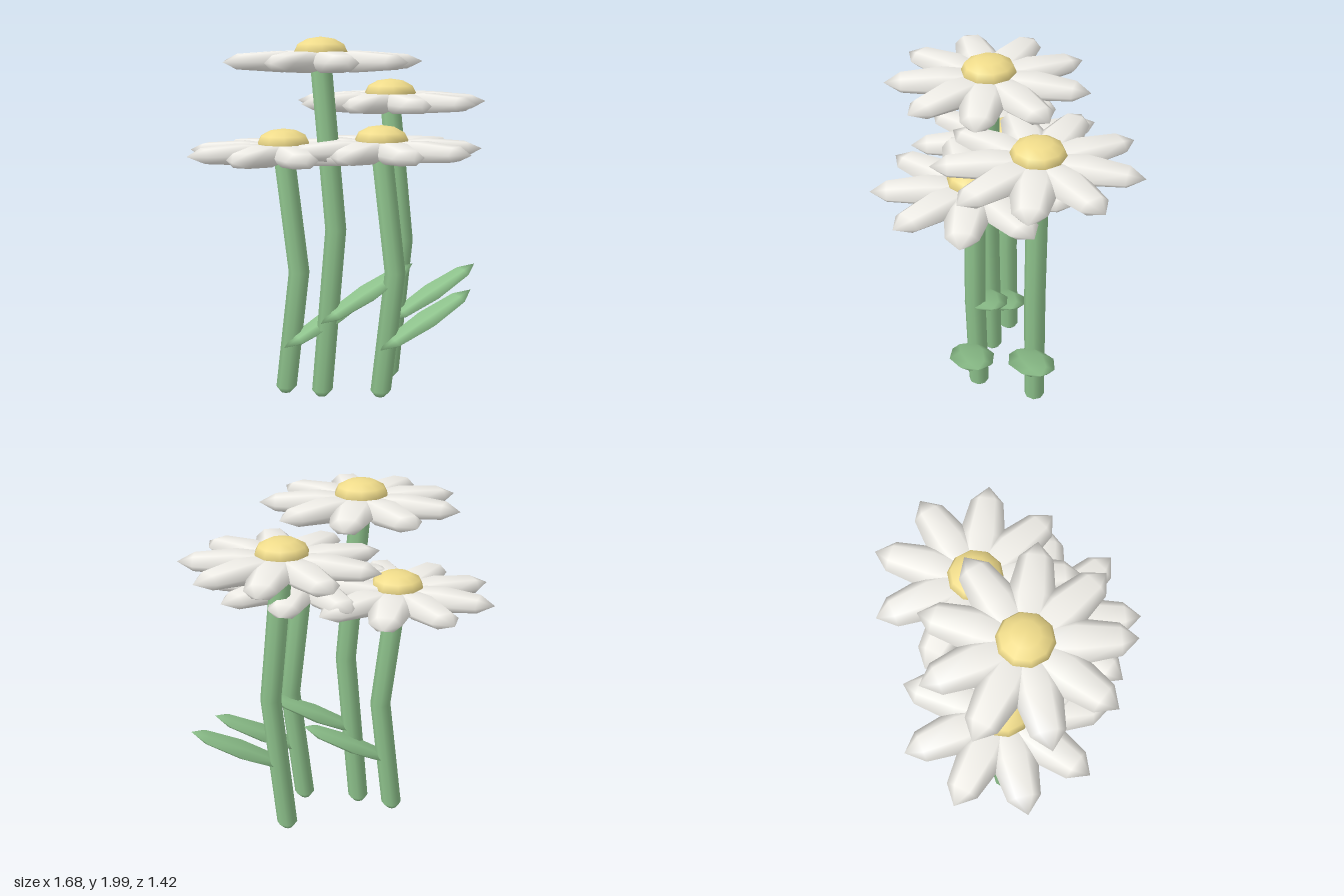
import * as THREE from 'three';

const paint = (color) => new THREE.MeshStandardMaterial({ color });
const green = paint(0x8dc18b);
const white = paint(0xf0eee8);
const yellow = paint(0xefdb8a);

// Flattened low-poly ellipsoid lying along a direction, with its width horizontal
function blade(name, material, center, axis, halfWidth, halfThick) {
  const along = axis.clone().normalize();
  const side = new THREE.Vector3(-along.z, 0, along.x).normalize();
  const up = new THREE.Vector3().crossVectors(side, along);
  const geo = new THREE.SphereGeometry(1, 6, 4);
  geo.scale(halfWidth, axis.length(), halfThick);
  geo.applyMatrix4(new THREE.Matrix4().makeBasis(side, along, up));
  const mesh = new THREE.Mesh(geo, material);
  mesh.name = name;
  mesh.position.copy(center);
  return mesh;
}

// Eight-sided stem with a bevelled foot, bent sideways at mid height
function stem(height) {
  const r = 0.058, bend = 0.08;
  const profile = [[0, 0.006], [0.028, 0.006], [r, 0.04], [r, height * 0.51], [r, height - 0.02], [0, height]];
  const geo = new THREE.LatheGeometry(profile.map(([x, y]) => new THREE.Vector2(x, y)), 8);
  const pos = geo.attributes.position;
  for (let i = 0; i < pos.count; i++) {
    const t = pos.getY(i) / height;
    pos.setX(i, pos.getX(i) + bend * (t < 0.51 ? t / 0.51 : (1 - t) / 0.49));
  }
  const mesh = new THREE.Mesh(geo, green);
  mesh.name = 'stem';
  return mesh;
}

function flower(x, z, height) {
  const group = new THREE.Group();
  group.name = 'flower';
  group.position.set(x, 0, z);
  group.add(stem(height));

  // Leaf rising from the stem
  group.add(blade('leaf', green, new THREE.Vector3(0.255, height * 0.316, 0),
    new THREE.Vector3(0.265, 0.15, -0.075), 0.125, 0.036));

  // Ring of nine petals
  const petals = new THREE.Group();
  petals.name = 'petals';
  for (let i = 0; i < 9; i++) {
    const a = (i / 9) * Math.PI * 2;
    const dir = new THREE.Vector3(Math.cos(a), 0, Math.sin(a));
    petals.add(blade('petal', white, dir.clone().multiplyScalar(0.245),
      dir.clone().multiplyScalar(0.305), 0.123, 0.062));
  }
  petals.position.y = height;
  group.add(petals);

  // Domed flower centre
  const heart = new THREE.Mesh(new THREE.SphereGeometry(1, 10, 6), yellow);
  heart.name = 'flowerCentre';
  heart.scale.set(0.147, 0.078, 0.147);
  heart.rotation.y = Math.PI / 2;
  heart.position.y = height + 0.052;
  group.add(heart);
  return group;
}

export function createModel() {
  const model = new THREE.Group();
  model.name = 'flowers';
  const plants = [[-0.125, 0.13, 1.87], [0.29, -0.17, 1.635], [-0.325, 0.05, 1.375], [0.2, 0.17, 1.4]];
  for (const [x, z, height] of plants) model.add(flower(x, z, height));
  return model;
}
